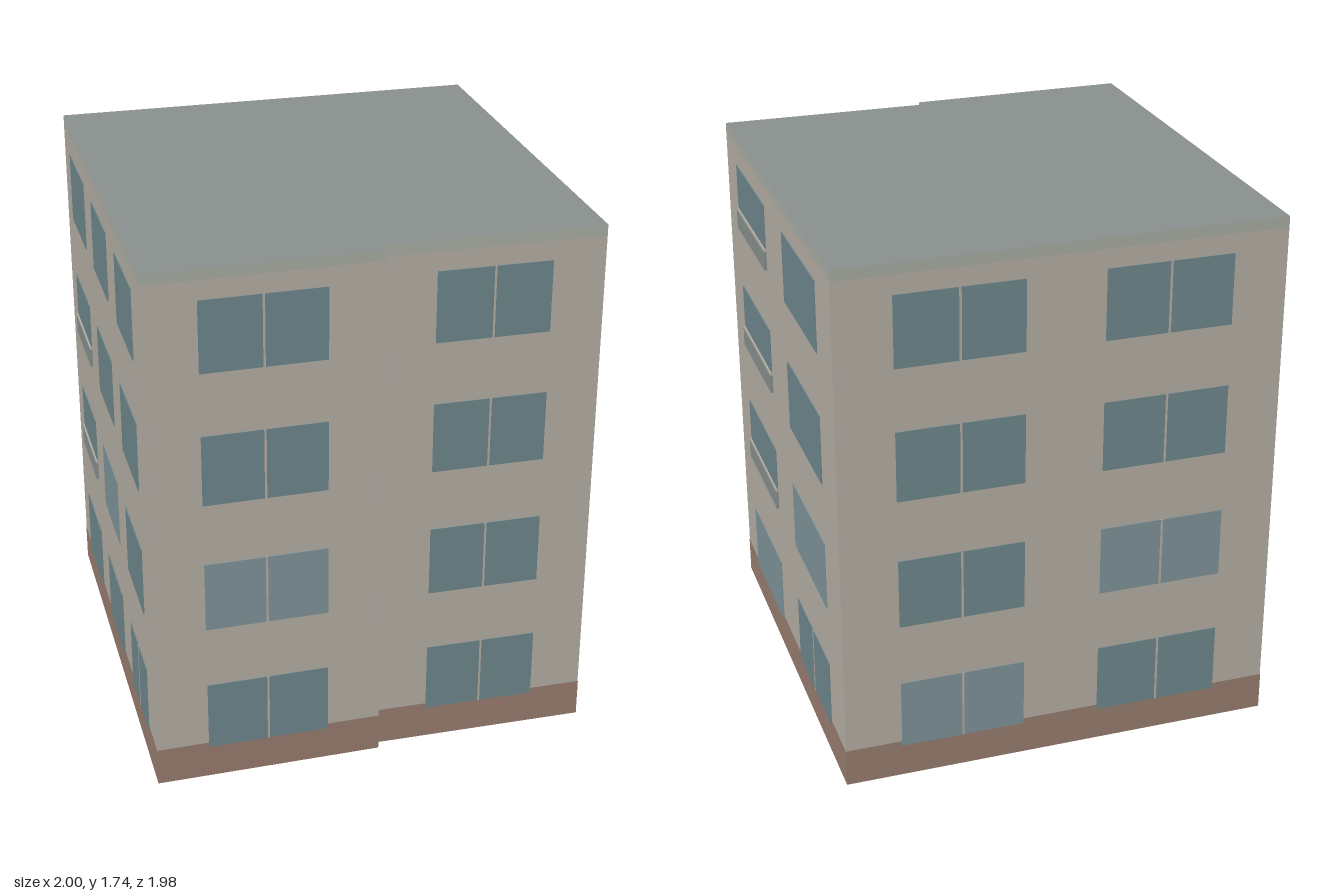
import * as THREE from 'three';

const mat = (color, side = THREE.FrontSide) => {
  const m = new THREE.MeshStandardMaterial({ side });
  m.color.set(color);
  return m;
};

// Footprint corners [x, z]: the front wall has one small step in it
const FOOT = [[-1, 0.25], [-0.385, 0.635], [-0.37, 0.61], [0.21, 0.99], [1, -0.22], [-0.19, -0.99]];
const HEIGHT = 1.735, EAVES = 1.7, PLINTH = 0.125;
const ROW0 = 0.11, PITCH = 0.433, WINDOW_H = 0.23;

// Upright band following the footprint, open above and below
function band(name, y0, y1, scale, material) {
  const pos = [];
  FOOT.forEach((p, i) => {
    const q = FOOT[(i + 1) % FOOT.length];
    const [ax, az, bx, bz] = [...p, ...q].map(v => v * scale);
    pos.push(ax, y0, az, bx, y0, bz, bx, y1, bz, ax, y0, az, bx, y1, bz, ax, y1, az);
  });
  const g = new THREE.BufferGeometry();
  g.setAttribute('position', new THREE.Float32BufferAttribute(pos, 3));
  g.computeVertexNormals();
  const mesh = new THREE.Mesh(g, material);
  mesh.name = name;
  return mesh;
}

export function createModel() {
  const group = new THREE.Group();
  group.name = 'apartmentBlock';
  const wallMat = mat(0xb8b2a8, THREE.DoubleSide);
  const plinthMat = mat(0x9c8072);
  const glassMat = mat(0x718a90);
  const paleGlassMat = mat(0x82979c);
  const roofMat = mat(0x8a928f);
  const corniceMat = mat(0xadb0a8);
  const frameMat = mat(0xb8b2a8);

  // Walls and plinth
  group.add(band('walls', 0, EAVES, 1, wallMat));
  group.add(band('plinth', 0, PLINTH, 1.0015, plinthMat));

  // Flat roof slab
  const shape = new THREE.Shape(FOOT.map(([x, z]) => new THREE.Vector2(x, -z)));
  const slab = new THREE.ExtrudeGeometry(shape, { depth: HEIGHT - EAVES, bevelEnabled: false });
  slab.rotateX(-Math.PI / 2).translate(0, EAVES, 0);
  const roof = new THREE.Mesh(slab, [roofMat, corniceMat]);
  roof.name = 'roof';
  group.add(roof);

  // Thin box standing on the wall from corner i, between fractions s0 and s1 of its length
  function panel(name, i, s0, s1, y0, y1, depth, material) {
    const [ax, az] = FOOT[i], [bx, bz] = FOOT[(i + 1) % FOOT.length];
    const dx = bx - ax, dz = bz - az, len = Math.hypot(dx, dz);
    const s = (s0 + s1) / 2, out = 0.001 + depth / 2;
    const mesh = new THREE.Mesh(new THREE.BoxGeometry((s1 - s0) * len, y1 - y0, depth), material);
    mesh.position.set(ax + dx * s - dz / len * out, (y0 + y1) / 2, az + dz * s + dx / len * out);
    mesh.rotation.y = Math.atan2(-dz, dx);
    mesh.name = name;
    group.add(mesh);
  }

  // Window columns: wall, extent along it, floors with a mullion, a balcony or paler glass
  const all = [0, 1, 2, 3];
  const columns = [
    { wall: 0, s: [0.228, 0.764], mullion: all, pale: [1] },
    { wall: 2, s: [0.241, 0.759], mullion: all },
    { wall: 3, s: [0.116, 0.405], balcony: [1, 2, 3], pale: [0] },
    { wall: 3, s: [0.583, 0.876], mullion: [0], pale: [1] },
    { wall: 4, s: [0.128, 0.413], mullion: all, pale: [0] },
    { wall: 4, s: [0.59, 0.877], mullion: all, pale: [1] },
    { wall: 5, s: [0.094, 0.292], balcony: [1, 2] },
    { wall: 5, s: [0.406, 0.599], pale: [1] },
    { wall: 5, s: [0.713, 0.906], mullion: [0] },
  ];
  for (const { wall, s: [s0, s1], mullion = [], balcony = [], pale = [] } of columns) {
    for (const floor of all) {
      const y = ROW0 + PITCH * floor, top = y + WINDOW_H;
      const hasBalcony = balcony.includes(floor);
      const glass = pale.includes(floor) ? paleGlassMat : glassMat;
      panel('window', wall, s0, s1, hasBalcony ? y + 0.08 : y, top, 0.003, glass);
      if (mullion.includes(floor)) {
        const m = (s0 + s1) / 2, w = (s1 - s0) * 0.009;
        panel('mullion', wall, m - w, m + w, y, top, 0.004, frameMat);
      }
      // Shallow balcony front with a pale rail on top
      if (hasBalcony) {
        panel('balconyFront', wall, s0 - 0.003, s1 + 0.003, y + 0.008, y + 0.07, 0.008, roofMat);
        panel('balconyRail', wall, s0 - 0.003, s1 + 0.003, y + 0.07, y + 0.08, 0.008, frameMat);
      }
    }
  }
  return group;
}
